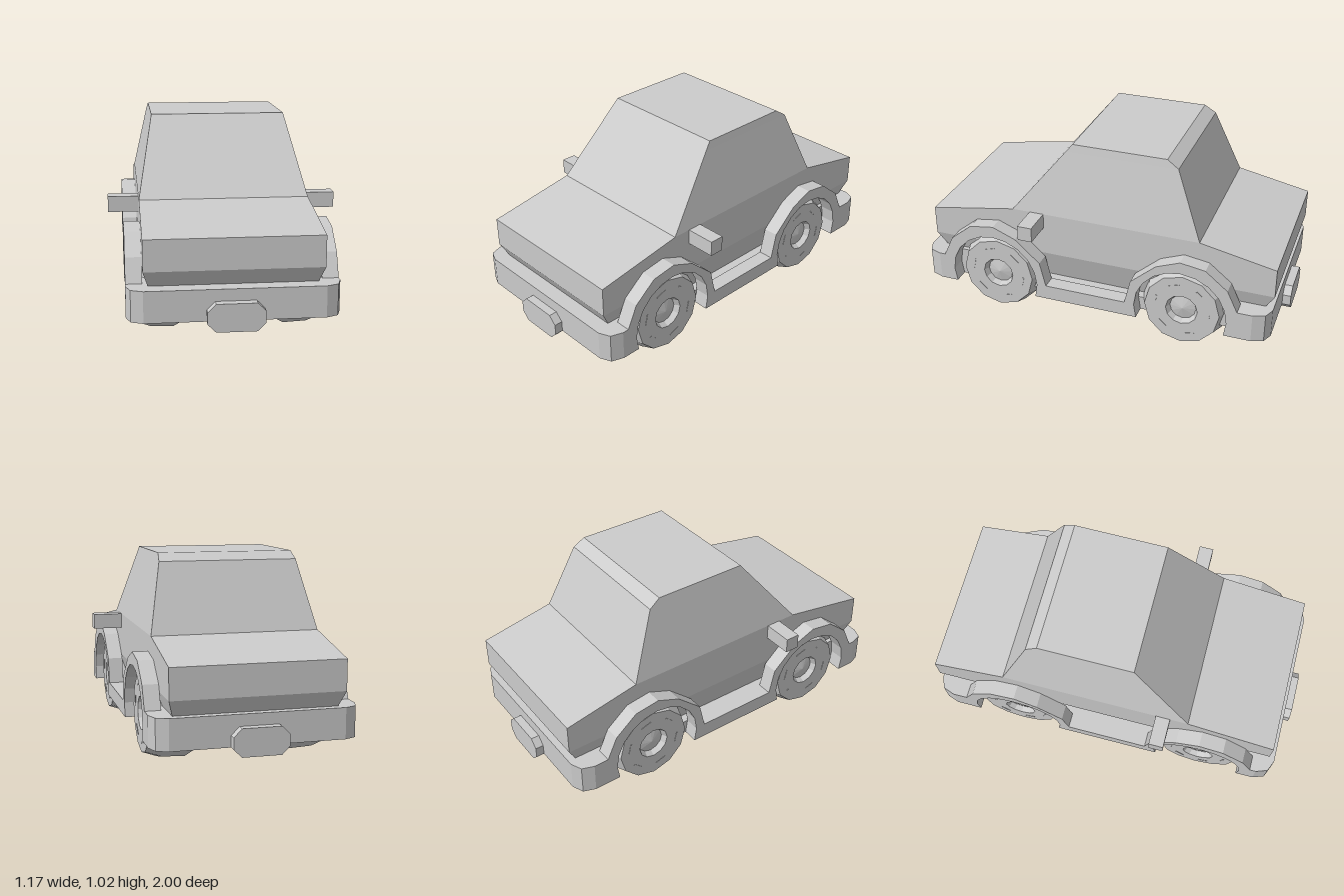
import * as THREE from 'three';

const grey = new THREE.MeshStandardMaterial({ color: 0xcccccc, flatShading: true });

function add(parent, name, geometry) {
  const mesh = new THREE.Mesh(geometry, grey);
  mesh.name = name;
  parent.add(mesh);
  return mesh;
}

// Stacks rectangles [y, halfWidth, zFront, zBack] into a closed hull
function loftRects(levels) {
  const corners = levels.map(([y, w, f, b]) => [[w, y, f], [w, y, b], [-w, y, b], [-w, y, f]]);
  const pos = [];
  const quad = (a, b, c, d) => pos.push(...a, ...b, ...c, ...a, ...c, ...d);
  for (let i = 0; i < corners.length - 1; i++) {
    for (let k = 0; k < 4; k++) {
      const n = (k + 1) % 4;
      quad(corners[i][k], corners[i][n], corners[i + 1][n], corners[i + 1][k]);
    }
  }
  const lo = corners[0], hi = corners[corners.length - 1];
  quad(lo[3], lo[2], lo[1], lo[0]);
  quad(hi[0], hi[1], hi[2], hi[3]);
  const g = new THREE.BufferGeometry();
  g.setAttribute('position', new THREE.Float32BufferAttribute(pos, 3));
  g.computeVertexNormals();
  return g;
}

function extrude(points, depth) {
  const shape = new THREE.Shape(points.map(([x, y]) => new THREE.Vector2(x, y)));
  return new THREE.ExtrudeGeometry(shape, { depth, bevelEnabled: false });
}

const AXLE_Y = 0.235, FRONT_Z = 0.54, REAR_Z = -0.495;
const HALF = 0.51, INNER = 0.43, FLOOR = 0.16, BUMPER_TOP = 0.315;

// Side panel outline in (z, y): sill, wheel openings and raised arches
function sidePanel() {
  const opening = (cz) => {
    const pts = [], r = 0.245, a = 0.311, n = 12;
    for (let i = 0; i <= n; i++) {
      const t = Math.PI + a - (i / n) * (Math.PI + 2 * a);
      pts.push([cz + r * Math.cos(t), AXLE_Y + r * Math.sin(t)]);
    }
    return pts;
  };
  const arch = [[0.297, 0.315], [0.243, 0.43], [0.126, 0.525], [-0.005, 0.545],
    [-0.13, 0.495], [-0.265, 0.375], [-0.297, 0.24]];
  return extrude([
    [-0.87, FLOOR], ...opening(REAR_Z), ...opening(FRONT_Z), [0.87, FLOOR], [0.87, BUMPER_TOP],
    ...arch.map(([z, y]) => [FRONT_Z + z, y]),
    ...arch.map(([z, y]) => [REAR_Z - z, y]).reverse(),
    [-0.87, BUMPER_TOP],
  ], HALF - INNER);
}

// Bumper plan with chamfered corners, extruded upward
function bumper() {
  const half = [[INNER, 0.7], [INNER, 0.87], [HALF, 0.87], [0.488, 0.932], [INNER, 0.957]];
  const plan = [...half, ...half.map(([x, z]) => [-x, z]).reverse()];
  const g = extrude(plan, BUMPER_TOP - FLOOR);
  g.rotateX(Math.PI / 2);
  g.translate(0, BUMPER_TOP, 0);
  return g;
}

// Wheel for the +x side: tyre, flat disc and recessed hub
function wheel(name) {
  const group = new THREE.Group();
  group.name = name;
  const profile = [[0, 0.195], [0.19, 0.195], [0.233, 0.275], [0.228, 0.39], [0.2, 0.47], [0.085, 0.47]]
    .map(([r, x]) => new THREE.Vector2(r, x));
  const tyre = new THREE.LatheGeometry(profile, 12);
  tyre.rotateZ(-Math.PI / 2);
  add(group, 'tyre', tyre);

  const hub = new THREE.LatheGeometry(
    [[0.085, 0.47], [0.07, 0.44], [0, 0.455]].map(([r, x]) => new THREE.Vector2(r, x)), 12);
  hub.rotateZ(-Math.PI / 2);
  add(group, 'hub', hub);

  // Thin rim slots around the disc
  for (let i = 0; i < 6; i++) {
    const pivot = new THREE.Group();
    pivot.rotation.x = (i / 6) * Math.PI * 2 + 0.3;
    add(pivot, 'rimSlot', new THREE.BoxGeometry(0.004, 0.008, 0.06)).position.set(0.47, 0.145, 0);
    group.add(pivot);
  }
  return group;
}

export function createModel() {
  const car = new THREE.Group();
  car.name = 'car';

  // Body and cabin
  add(car, 'body', loftRects([
    [0.2, 0.37, 0.815, -0.855], [0.395, INNER, 0.92, -0.96],
    [0.55, INNER, 0.92, -0.96], [0.63, INNER, 0.45, -0.565],
  ]));
  add(car, 'cabin', loftRects([
    [0.63, INNER, 0.45, -0.565], [0.98, 0.358, 0.167, -0.425], [1.02, 0.35, 0.135, -0.365],
  ]));

  // Floor between the side panels
  add(car, 'floor', new THREE.BoxGeometry(INNER * 2, 0.075, 1.4)).position.y = FLOOR + 0.0375;

  // Side panels and door mirrors
  for (const side of [1, -1]) {
    const label = side > 0 ? 'left' : 'right';
    const panel = add(car, label + 'SidePanel', sidePanel());
    panel.rotation.y = -Math.PI / 2;
    panel.position.x = side > 0 ? HALF : -INNER;
    add(car, label + 'Mirror', new THREE.BoxGeometry(0.165, 0.08, 0.077))
      .position.set(side * 0.503, 0.59, 0.315);

    for (const [end, z] of [['Front', FRONT_Z], ['Rear', REAR_Z]]) {
      const w = wheel(label + end + 'Wheel');
      w.position.set(0, AXLE_Y, z);
      if (side < 0) w.rotation.y = Math.PI;
      car.add(w);
    }
  }

  // Bumpers with octagonal plates, front and rear
  const plate = [[-0.097, 0.12], [0.097, 0.12], [0.137, 0.16], [0.137, 0.217],
    [0.097, 0.257], [-0.097, 0.257], [-0.137, 0.217], [-0.137, 0.16]];
  for (const end of ['front', 'rear']) {
    const group = new THREE.Group();
    group.name = end + 'End';
    add(group, 'bumper', bumper());
    add(group, 'plate', extrude(plate, 0.05)).position.z = 0.95;
    if (end === 'rear') group.rotation.y = Math.PI;
    car.add(group);
  }
  return car;
}
